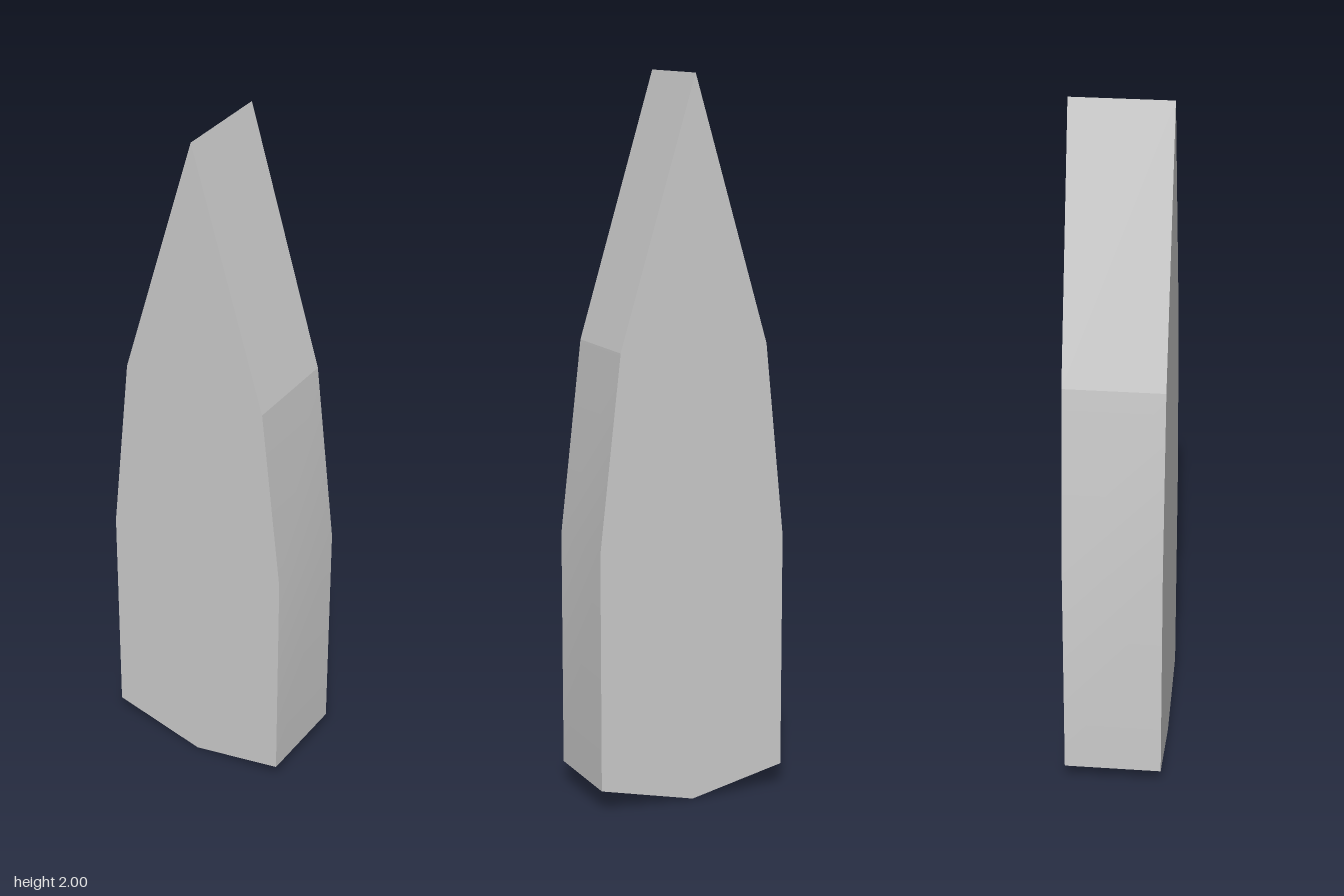
import * as THREE from 'three';
import { toCreasedNormals } from 'three/addons/utils/BufferGeometryUtils.js';

export function createModel() {
  const model = new THREE.Group();
  model.name = 'pointedSlab';

  // Outline of the pointed slab, counter-clockwise from the bottom corner
  const outline = [
    [0, 0], [0.275, 0.063], [0.275, 0.73], [0.213, 1.27],
    [-0.005, 2], [-0.22, 1.27], [-0.275, 0.73], [-0.275, 0.063],
  ];
  const depth = 0.276;
  const shape = new THREE.Shape(outline.map(([x, y]) => new THREE.Vector2(x, y)));
  const slab = new THREE.ExtrudeGeometry(shape, { depth, bevelEnabled: false });
  slab.translate(0, 0, -depth / 2);

  // Only the gentle bend halfway up the sides is smooth
  const blade = new THREE.Mesh(
    toCreasedNormals(slab, THREE.MathUtils.degToRad(8)),
    new THREE.MeshStandardMaterial({ color: 0xcccccc }),
  );
  blade.name = 'blade';
  model.add(blade);
  return model;
}
